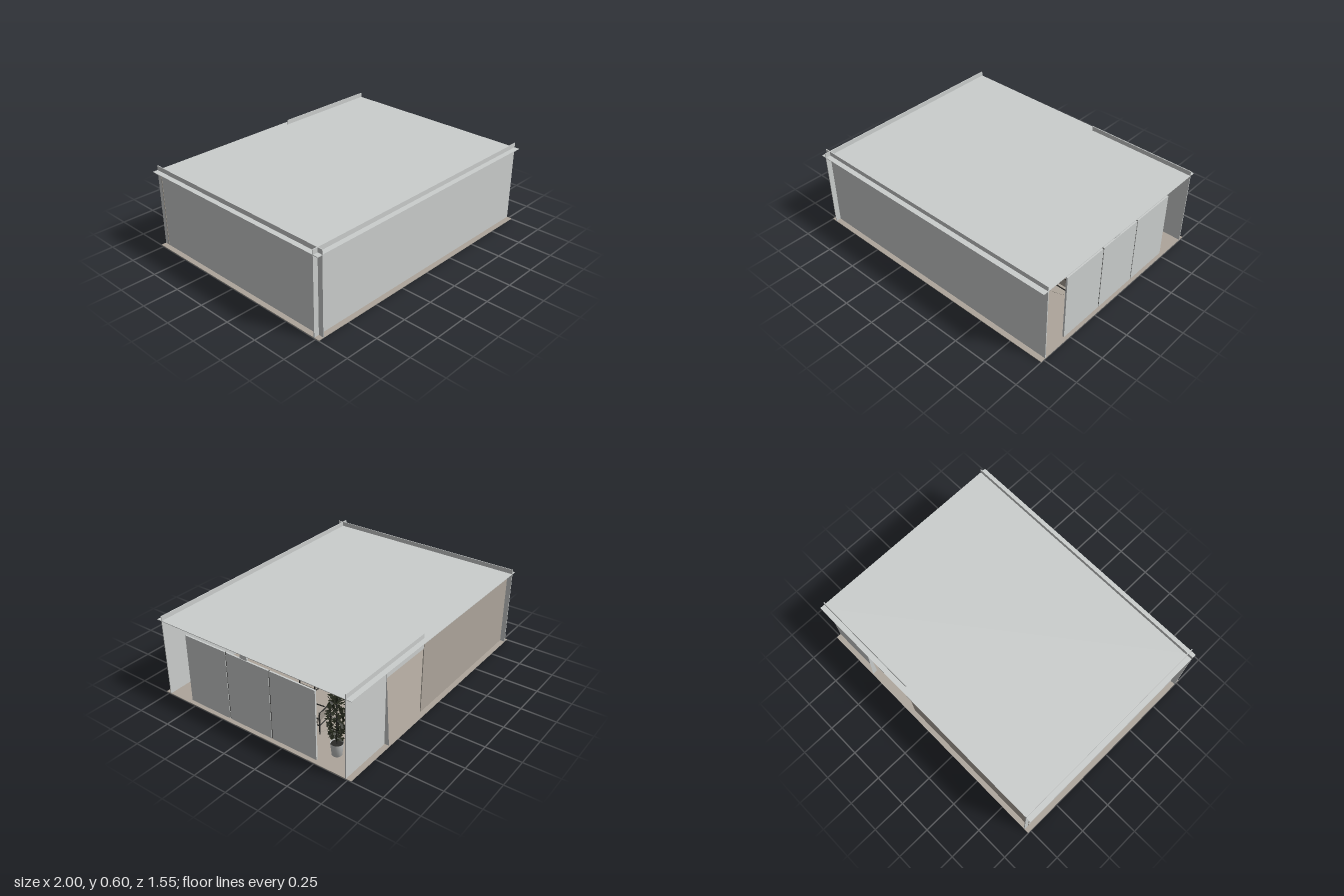
import * as THREE from 'three';
import { mergeGeometries } from 'three/addons/utils/BufferGeometryUtils.js';

const mat = (name, color, extra = {}) => {
  const m = new THREE.MeshStandardMaterial({ color, ...extra });
  m.name = name;
  return m;
};

export function createModel() {
  const root = new THREE.Group();
  root.name = 'room';
  const grey = mat('pale grey', 0xcbcecd);
  const greyThin = mat('pale grey sheet', 0xcbcecd, { side: THREE.DoubleSide });
  const beige = mat('warm beige', 0xada59b);
  const dark = mat('dark frame', 0x2a2a28);
  const leafMat = mat('leaf', 0x22261a, { side: THREE.DoubleSide });
  const potMat = mat('pot', 0xc6c8c7, { side: THREE.DoubleSide });

  const add = (parent, name, geo, m, x = 0, y = 0, z = 0) => {
    const mesh = new THREE.Mesh(geo, m);
    mesh.name = name;
    mesh.position.set(x, y, z);
    parent.add(mesh);
    return mesh;
  };
  // box given by its limits on each axis
  const slab = (parent, name, m, x0, x1, y0, y1, z0, z1) =>
    add(parent, name, new THREE.BoxGeometry(x1 - x0, y1 - y0, z1 - z0), m,
      (x0 + x1) / 2, (y0 + y1) / 2, (z0 + z1) / 2);
  // round bar between two points
  const bar = (parent, name, m, a, b, r) => {
    const p = new THREE.Vector3(...a), q = new THREE.Vector3(...b);
    const d = q.clone().sub(p);
    const mesh = add(parent, name, new THREE.CylinderGeometry(r, r, d.length(), 8), m);
    mesh.position.copy(p).add(q).multiplyScalar(0.5);
    mesh.quaternion.setFromUnitVectors(new THREE.Vector3(0, 1, 0), d.normalize());
  };

  // Shell: thin planes that cross slightly at the corners
  const W = 1, D = 0.775, T = 0.003;
  slab(root, 'floor', beige, -W, W, 0, 0.005, -D, D);
  slab(root, 'roof', grey, -W, W, 0.563, 0.567, -D, D);
  slab(root, 'frontWall', grey, -W, W, 0, 0.6, 0.735 - T, 0.735 + T);
  slab(root, 'leftEndWall', grey, -0.96 - T, -0.96 + T, 0, 0.6, -D, D);
  slab(root, 'backWallShort', grey, 0.6, W, 0, 0.6, -0.735 - T, -0.735 + T);
  slab(root, 'doorLintel', grey, 0.18, 0.6, 0.49, 0.6, -0.735 - T, -0.735 + T);
  slab(root, 'backWallLong', beige, -0.965, 0.18, 0, 0.563, -0.737 - T, -0.737 + T);

  // Slanting sheet at the doorway edge
  const wedge = new THREE.BufferGeometry().setFromPoints([
    new THREE.Vector3(0.597, 0.565, -0.735),
    new THREE.Vector3(0.597, 0.005, -0.735),
    new THREE.Vector3(0.597, 0.005, -0.77)]);
  wedge.computeVertexNormals();
  add(root, 'doorReveal', wedge, greyThin);

  // Open side: three hanging panels on a ceiling track
  const panels = new THREE.Group();
  panels.name = 'slidingPanels';
  root.add(panels);
  const pw = 1.055 / 3;
  for (let i = 0; i < 3; i++) {
    const z0 = -0.51 + i * pw;
    slab(panels, 'panel', grey, 0.972, 0.984, 0.02, 0.52, z0 + 0.004, z0 + pw - 0.004);
    if (i) slab(panels, 'panelJoint', dark, 0.974, 0.98, 0.02, 0.52, z0 - 0.004, z0 + 0.004);
  }
  slab(panels, 'panelHanger', grey, 0.965, 0.98, 0.52, 0.563, 0.02, 0.075);
  slab(panels, 'ceilingTrack', dark, 0.965, 0.985, 0.559, 0.563, -0.635, 0.635);

  // Seating group
  add(root, 'rug', new THREE.CylinderGeometry(0.33, 0.33, 0.002, 48), beige, 0.6, 0.006, -0.05);

  const table = new THREE.Group();
  table.name = 'roundTable';
  table.position.set(0.62, 0, -0.09);
  root.add(table);
  add(table, 'tableTop', new THREE.CylinderGeometry(0.095, 0.095, 0.006, 32), beige, 0, 0.113, 0);
  add(table, 'tableRim', new THREE.TorusGeometry(0.095, 0.003, 6, 32), dark, 0, 0.113, 0).rotation.x = Math.PI / 2;
  for (let i = 0; i < 3; i++) {
    const a = i * Math.PI * 2 / 3 + 0.4;
    bar(table, 'tableLeg', dark, [Math.cos(a) * 0.06, 0.005, Math.sin(a) * 0.06],
      [Math.cos(a) * 0.035, 0.11, Math.sin(a) * 0.035], 0.004);
  }

  const makeChair = (x, z, turn) => {
    const c = new THREE.Group();
    c.name = 'armchair';
    c.position.set(x, 0.005, z);
    c.rotation.y = turn;
    root.add(c);
    slab(c, 'seat', beige, -0.055, 0.055, 0.068, 0.086, -0.05, 0.06);
    add(c, 'backrest', new THREE.BoxGeometry(0.11, 0.07, 0.014), beige, 0, 0.122, -0.058).rotation.x = -0.2;
    for (const s of [-1, 1]) {
      bar(c, 'frontLeg', dark, [s * 0.065, 0, 0.06], [s * 0.065, 0.115, 0.055], 0.004);
      bar(c, 'backLeg', dark, [s * 0.065, 0, -0.07], [s * 0.065, 0.16, -0.07], 0.004);
      bar(c, 'armrest', dark, [s * 0.065, 0.115, 0.062], [s * 0.065, 0.115, -0.07], 0.004);
      bar(c, 'sideRail', dark, [s * 0.065, 0.066, 0.058], [s * 0.065, 0.066, -0.07], 0.004);
    }
    for (const [y, zz] of [[0.066, 0.058], [0.066, -0.07], [0.16, -0.07]])
      bar(c, 'crossRail', dark, [-0.065, y, zz], [0.065, y, zz], 0.004);
  };
  makeChair(0.7, -0.28, 0.1);
  makeChair(0.71, 0.19, Math.PI);
  makeChair(0.42, -0.03, Math.PI / 2);

  // Potted plants
  const makePlant = (name, x, z, profile, trunkTop, y0, y1, r, count, seed) => {
    const p = new THREE.Group();
    p.name = name;
    p.position.set(x, 0.005, z);
    root.add(p);
    add(p, 'pot', new THREE.LatheGeometry(profile.map(q => new THREE.Vector2(...q)), 28), potMat);
    const rim = profile[profile.length - 1];
    add(p, 'soil', new THREE.CylinderGeometry(rim[0] * 0.9, rim[0] * 0.9, 0.004, 20), dark, 0, rim[1] - 0.012, 0);
    bar(p, 'trunk', dark, [0, rim[1] - 0.01, 0], [0, trunkTop, 0], 0.004);
    let s = seed;
    const rnd = () => (s = (s * 16807) % 2147483647) / 2147483647;
    const leaves = [];
    for (let i = 0; i < count; i++) {
      const t = rnd(), a = rnd() * Math.PI * 2;
      const spread = r * Math.sqrt(Math.sin(Math.PI * (0.08 + 0.84 * t))) * Math.sqrt(rnd());
      const y = y0 + (y1 - y0) * t;
      const leaf = new THREE.CircleGeometry(0.014, 6);
      leaf.scale(0.6, 1.2, 1);
      leaf.rotateX(rnd() * 2.6);
      leaf.rotateY(rnd() * 6.28);
      leaf.translate(Math.cos(a) * spread, y, Math.sin(a) * spread);
      leaves.push(leaf);
      if (i % 14 === 0)
        bar(p, 'branch', dark, [0, Math.max(rim[1], y - 0.06), 0],
          [Math.cos(a) * spread, y, Math.sin(a) * spread], 0.0015);
    }
    add(p, 'foliage', mergeGeometries(leaves), leafMat);
  };
  makePlant('smallPlant', -0.82, 0.62,
    [[0, 0], [0.048, 0], [0.046, 0.008], [0.03, 0.025], [0.04, 0.035], [0.052, 0.085], [0.058, 0.13], [0.06, 0.134]],
    0.27, 0.16, 0.33, 0.065, 150, 77);
  makePlant('tallPlant', 0.85, -0.56,
    [[0, 0], [0.033, 0], [0.042, 0.09]],
    0.42, 0.11, 0.465, 0.068, 300, 1234);

  return root;
}
